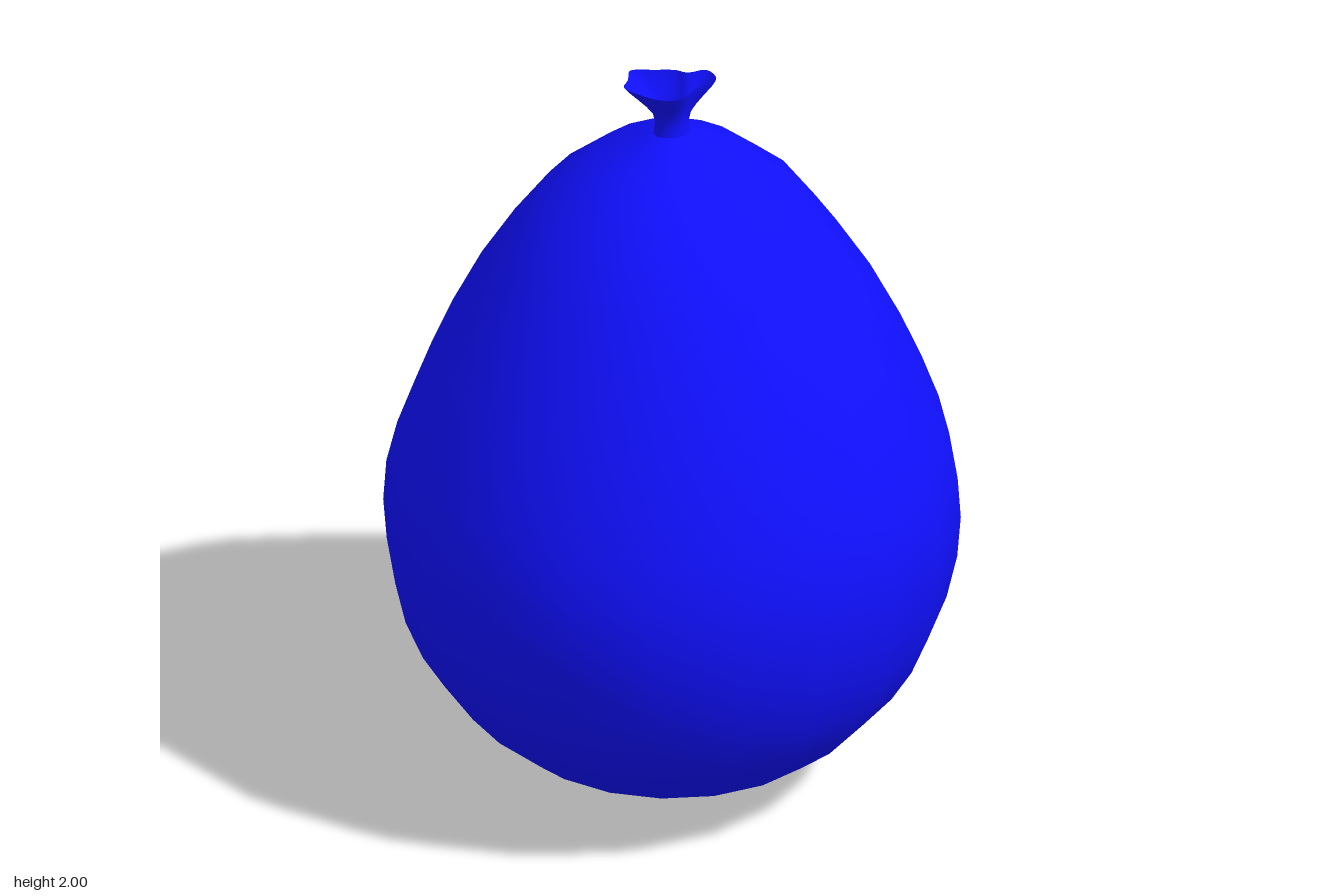
import * as THREE from 'three';

// Balloon outline as [radius, height], from the bottom to the tied top
const PROFILE = [
  [0, 0.005], [0.115, 0.015], [0.225, 0.04], [0.335, 0.085], [0.43, 0.14], [0.52, 0.215],
  [0.6, 0.31], [0.655, 0.4], [0.7, 0.51], [0.727, 0.63], [0.736, 0.745], [0.728, 0.86],
  [0.7, 0.975], [0.655, 1.1], [0.6, 1.23], [0.52, 1.39], [0.43, 1.535], [0.335, 1.665],
  [0.2, 1.78], [0.04, 1.86], [0, 1.87],
];

// Crumpled rim of the mouth as [x, z]
const RIM = [
  [-0.125, -0.005], [-0.105, -0.04], [-0.088, -0.085], [-0.03, -0.073], [0.025, -0.058],
  [0.05, -0.038], [0.1, -0.04], [0.115, 0], [0.1, 0.032], [0.045, 0.047],
  [0.02, 0.078], [-0.02, 0.09], [-0.06, 0.075], [-0.1, 0.035],
];

// Rings of the mouth as [height, neck radius, blend from round neck to rim]
const RINGS = [
  [1.84, 0.05, 0], [1.865, 0.046, 0], [1.89, 0.042, 0.02], [1.915, 0.042, 0.1],
  [1.94, 0.042, 0.33], [1.965, 0.042, 0.62], [1.985, 0.042, 0.86], [2, 0.042, 1],
];

function mouthGeometry(sides) {
  const curve = new THREE.CatmullRomCurve3(RIM.map(([x, z]) => new THREE.Vector3(x, 0, z)), true);
  const rim = curve.getPoints(sides).slice(0, sides);
  const positions = [];
  const index = [];
  RINGS.forEach(([y, radius, blend], i) => {
    rim.forEach((p, j) => {
      const angle = Math.atan2(p.z, p.x);
      positions.push(
        THREE.MathUtils.lerp(radius * Math.cos(angle), p.x, blend),
        y,
        THREE.MathUtils.lerp(radius * 0.85 * Math.sin(angle), p.z, blend),
      );
      if (i === RINGS.length - 1) return;
      const a = i * sides + j;
      const b = i * sides + (j + 1) % sides;
      index.push(a, a + sides, b, b, a + sides, b + sides);
    });
  });
  const geometry = new THREE.BufferGeometry();
  geometry.setAttribute('position', new THREE.Float32BufferAttribute(positions, 3));
  geometry.setIndex(index);
  geometry.computeVertexNormals();
  return geometry;
}

export function createModel() {
  const group = new THREE.Group();
  group.name = 'balloon';
  const material = new THREE.MeshStandardMaterial({ color: 0x1010ff });

  // Inflated body
  const points = PROFILE.map(([r, y]) => new THREE.Vector2(r, y));
  const body = new THREE.Mesh(new THREE.LatheGeometry(points, 20), material);
  body.name = 'body';
  group.add(body);

  // Open, flared mouth above the tied neck
  const mouthMaterial = material.clone();
  mouthMaterial.side = THREE.DoubleSide;
  const mouth = new THREE.Mesh(mouthGeometry(42), mouthMaterial);
  mouth.name = 'mouth';
  group.add(mouth);

  return group;
}
